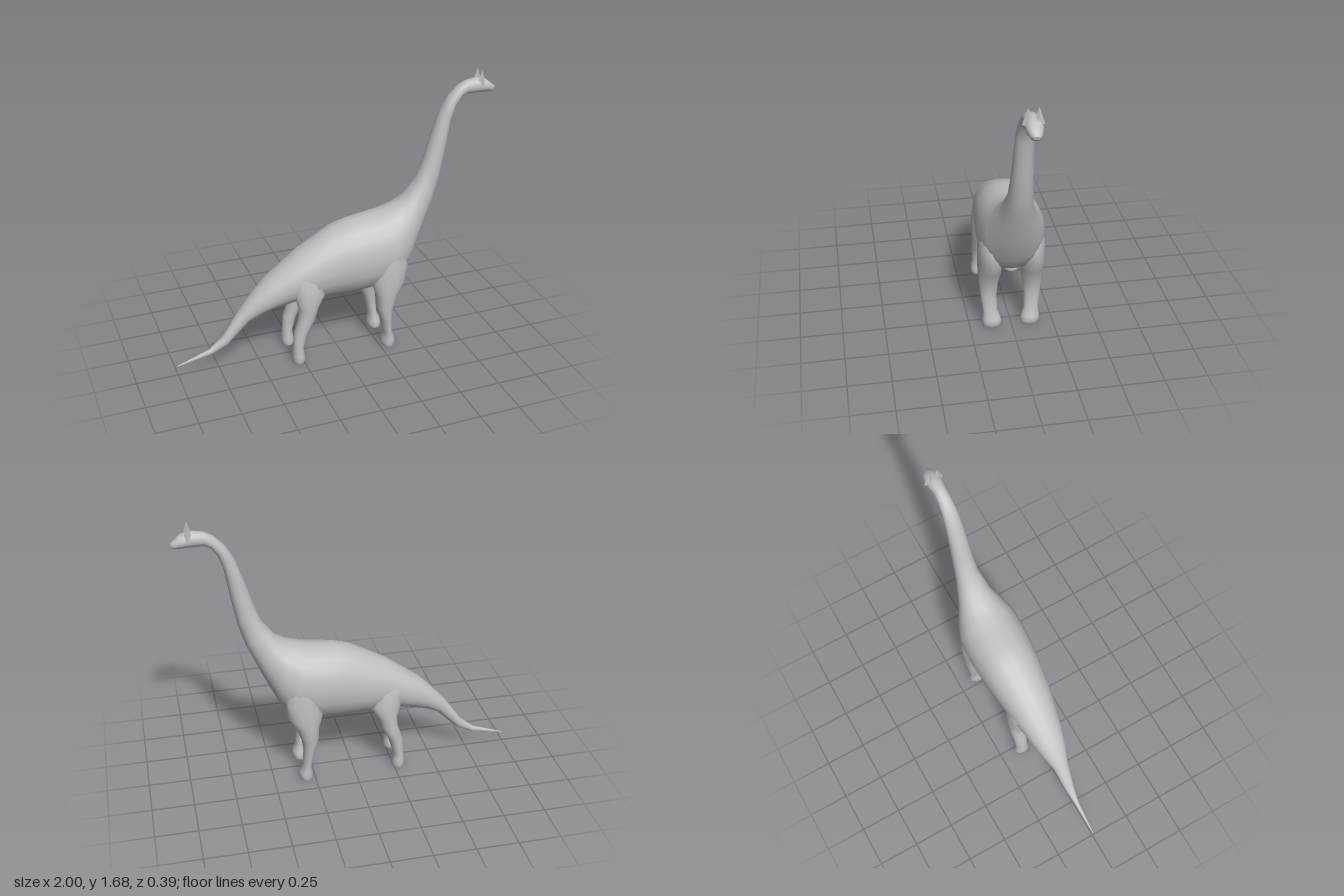
import * as THREE from 'three';

const hide = new THREE.MeshStandardMaterial({ color: 0xc0c0c0 });
hide.name = 'grey hide';

// Skins a list of equal-sized rings into a smooth tube with flat end caps
function loft(rings) {
  const n = rings[0].length;
  const pos = rings.flat(2);
  const index = [];
  for (let r = 0; r < rings.length - 1; r++) {
    for (let i = 0; i < n; i++) {
      const a = r * n + i, b = r * n + (i + 1) % n;
      index.push(a, b, a + n, b, b + n, a + n);
    }
  }
  [rings[0], rings[rings.length - 1]].forEach((ring, end) => {
    const base = pos.length / 3;
    pos.push(...ring.flat());
    for (let i = 1; i < n - 1; i++) {
      if (end) index.push(base, base + i, base + i + 1);
      else index.push(base, base + i + 1, base + i);
    }
  });
  const g = new THREE.BufferGeometry();
  g.setAttribute('position', new THREE.Float32BufferAttribute(pos, 3));
  g.setIndex(index);
  g.computeVertexNormals();
  return g;
}

function addMesh(parent, name, geometry) {
  const mesh = new THREE.Mesh(geometry, hide);
  mesh.name = name;
  parent.add(mesh);
  return mesh;
}

// Slightly squared cosine and sine for fuller cross-sections
const full = (v, p) => Math.sign(v) * Math.abs(v) ** p;

// Spine section: [top x, top y, bottom x, bottom y, half width]
function spineRing([tx, ty, bx, by, w], n = 20) {
  return Array.from({ length: n }, (_, i) => {
    const t = (i / n) * Math.PI * 2;
    const c = full(Math.cos(t), 0.92), s = full(Math.sin(t), 0.92);
    return [(tx + bx) / 2 + c * (tx - bx) / 2, (ty + by) / 2 + c * (ty - by) / 2, s * w];
  });
}

// Leg section: [y, back x, front x, inner z, outer z]
function legRing([y, x0, x1, z0, z1], side, n = 14) {
  return Array.from({ length: n }, (_, i) => {
    const t = (i / n) * Math.PI * 2;
    return [
      (x0 + x1) / 2 + Math.cos(t) * (x1 - x0) / 2,
      y,
      side * (z0 + z1) / 2 + Math.sin(t) * (z1 - z0) / 2,
    ];
  });
}

const tail = [
  [-1, 0.065, -1, 0.058, 0.002],
  [-0.8, 0.135, -0.79, 0.1, 0.015],
  [-0.71, 0.21, -0.69, 0.15, 0.03],
  [-0.6, 0.37, -0.55, 0.29, 0.05],
  [-0.52, 0.46, -0.46, 0.335, 0.08],
  [-0.43, 0.55, -0.37, 0.36, 0.105],
];
const trunk = [
  [-0.33, 0.62, -0.28, 0.38, 0.125],
  [-0.22, 0.7, -0.19, 0.385, 0.147],
  [0, 0.82, 0, 0.38, 0.177],
  [0.1, 0.845, 0.12, 0.38, 0.188],
  [0.2, 0.858, 0.25, 0.39, 0.195],
  [0.29, 0.87, 0.38, 0.43, 0.193],
  [0.38, 0.9, 0.45, 0.52, 0.16],
  [0.45, 0.945, 0.53, 0.69, 0.112],
];
const neck = [
  [0.53, 1.06, 0.62, 0.9, 0.073],
  [0.57, 1.18, 0.66, 1.04, 0.063],
  [0.605, 1.3, 0.69, 1.2, 0.057],
  [0.66, 1.46, 0.722, 1.4, 0.05],
  [0.71, 1.54, 0.75, 1.48, 0.045],
  [0.77, 1.6, 0.785, 1.528, 0.04],
];
const head = [
  [0.82, 1.625, 0.82, 1.545, 0.038],
  [0.88, 1.633, 0.88, 1.545, 0.045],
  [0.94, 1.622, 0.945, 1.543, 0.046],
  [0.98, 1.59, 0.98, 1.54, 0.03],
  [1, 1.572, 0.995, 1.552, 0.016],
];

const frontLeg = [
  [0.78, 0.27, 0.35, 0.11, 0.16],
  [0.68, 0.23, 0.39, 0.08, 0.185],
  [0.56, 0.2, 0.42, 0.06, 0.198],
  [0.45, 0.195, 0.41, 0.05, 0.198],
  [0.37, 0.218, 0.362, 0.055, 0.196],
  [0.28, 0.225, 0.328, 0.072, 0.19],
  [0.2, 0.248, 0.32, 0.082, 0.181],
  [0.1, 0.27, 0.325, 0.08, 0.168],
  [0.05, 0.264, 0.347, 0.062, 0.172],
  [0.02, 0.26, 0.35, 0.056, 0.174],
  [0, 0.268, 0.342, 0.062, 0.168],
];
const hindLeg = [
  [0.62, -0.25, -0.15, 0.07, 0.12],
  [0.54, -0.29, -0.11, 0.05, 0.15],
  [0.44, -0.29, -0.1, 0.04, 0.16],
  [0.36, -0.268, -0.145, 0.045, 0.16],
  [0.29, -0.272, -0.165, 0.055, 0.157],
  [0.2, -0.302, -0.215, 0.065, 0.153],
  [0.1, -0.31, -0.245, 0.07, 0.148],
  [0.05, -0.315, -0.24, 0.063, 0.155],
  [0.02, -0.316, -0.236, 0.058, 0.158],
  [0, -0.31, -0.242, 0.064, 0.152],
];

export function createModel() {
  const model = new THREE.Group();
  model.name = 'longNeckedDinosaur';

  // Tail, trunk, neck and head as one continuous skin
  const spine = [...tail, ...trunk, ...neck, ...head];
  addMesh(model, 'body', loft(spine.map((s) => spineRing(s))));

  for (const side of [1, -1]) {
    const label = side > 0 ? 'Front' : 'Back';

    // Legs with shoulders and hips sunk into the trunk
    addMesh(model, `foreLeg${label}`, loft(frontLeg.map((s) => legRing(s, side))));
    addMesh(model, `hindLeg${label}`, loft(hindLeg.map((s) => legRing(s, side))));

    // Pointed crest on each side of the head
    const crest = addMesh(model, `crest${label}`, new THREE.ConeGeometry(0.03, 0.09, 4).toNonIndexed());
    crest.geometry.computeVertexNormals();
    crest.scale.x = 0.9;
    crest.position.set(0.904, 1.64, side * 0.028);
  }
  return model;
}
